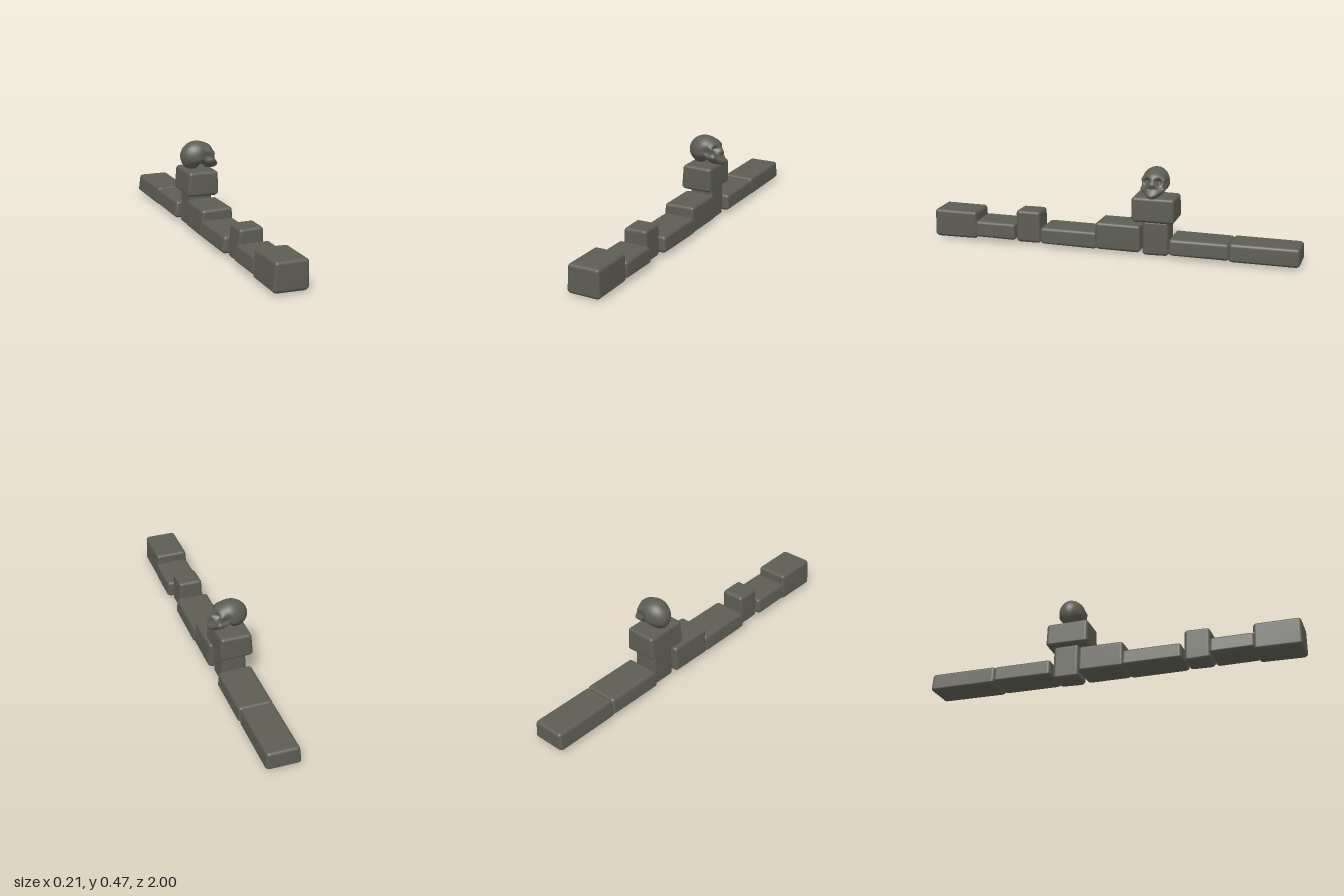
import * as THREE from 'three';
import { RoundedBoxGeometry } from 'three/addons/geometries/RoundedBoxGeometry.js';
import { mergeVertices } from 'three/addons/utils/BufferGeometryUtils.js';

const stone = new THREE.MeshStandardMaterial({ color: 0x5e5d53 });
stone.name = 'dark stone';

let seed = 7;
const rand = () => (seed = (seed * 16807) % 2147483647) / 2147483647;
const step = THREE.MathUtils.smoothstep;

// Move every vertex by a rule, then weld and smooth
function reshape(geometry, rule) {
  geometry.deleteAttribute('normal');
  geometry.deleteAttribute('uv');
  const p = geometry.attributes.position;
  const v = new THREE.Vector3();
  for (let i = 0; i < p.count; i++) {
    rule(v.fromBufferAttribute(p, i));
    p.setXYZ(i, v.x, v.y, v.z);
  }
  const welded = mergeVertices(geometry, 1e-5);
  welded.computeVertexNormals();
  return welded;
}

// Worn block: rounded box, wider near the foot, with slightly uneven corners
function block(name, [x0, x1], [y0, y1], [z0, z1]) {
  const w = x1 - x0, h = y1 - y0, d = z1 - z0;
  const corners = Array.from({ length: 8 }, () => (rand() - 0.5) * 0.008);
  const geometry = reshape(new RoundedBoxGeometry(w, h, d, 4, 0.017), (v) => {
    const t = v.y / h + 0.5;
    const corner = (v.x > 0 ? 1 : 0) + (v.y > 0 ? 2 : 0) + (v.z > 0 ? 4 : 0);
    const foot = 1 - step(t, 0, 0.16);
    const lean = v.x < 0 ? 0.012 : 0.004;
    v.x -= Math.sign(v.x) * (lean * t + 0.008 * foot);
    v.z -= Math.sign(v.z) * (0.003 * t + 0.005 * foot);
    v.y -= Math.abs(corners[corner]) * (v.y > 0 ? 1 : -1);
  });
  const mesh = new THREE.Mesh(geometry, stone);
  mesh.name = name;
  mesh.position.set((x0 + x1) / 2, (y0 + y1) / 2, (z0 + z1) / 2);
  return mesh;
}

// Skull facing +x: a side outline swept into a rounded form, then dented
function skull() {
  const cx = 0, cy = 0.39;
  const outline = new THREE.CatmullRomCurve3([
    [0.093, 0.395], [0.082, 0.41], [0.074, 0.425], [0.06, 0.442], [0.03, 0.457],
    [-0.01, 0.467], [-0.055, 0.458], [-0.09, 0.427], [-0.103, 0.387], [-0.092, 0.346],
    [-0.065, 0.319], [-0.04, 0.315], [-0.022, 0.317], [-0.013, 0.331], [0.008, 0.34],
    [0.028, 0.332], [0.037, 0.319], [0.06, 0.315], [0.088, 0.317], [0.104, 0.326],
    [0.107, 0.338], [0.097, 0.354], [0.09, 0.367], [0.092, 0.382],
  ].map(([x, y]) => new THREE.Vector3(x, y, 0)), true);

  // Dents and bumps: x, y, |z|, reach, push in x, push outwards in z
  const marks = [
    [0.075, 0.402, 0.031, 0.017, -0.034, 0],     // eye socket
    [0.025, 0.39, 0.066, 0.026, 0, -0.016],      // temple
    [0.056, 0.364, 0.05, 0.016, 0.006, 0.01],    // cheekbone
    [0.048, 0.41, 0.06, 0.014, 0.004, 0.006],    // socket rim
    [0.085, 0.373, 0.008, 0.009, -0.008, 0],     // nose opening
  ];
  const c = new THREE.Vector3();
  const geometry = new THREE.SphereGeometry(1, 112, 56).rotateX(Math.PI / 2);
  const shaped = reshape(geometry, (v) => {
    const turn = Math.atan2(v.y, v.x) / (2 * Math.PI);
    outline.getPoint(((turn % 1) + 1) % 1, c);
    const face = step(c.x, 0.02, 0.08);
    const rho = Math.pow(Math.min(1, Math.hypot(v.x, v.y)), 1 - 0.35 * face);
    const x = cx + (c.x - cx) * rho, y = cy + (c.y - cy) * rho;
    const low = 1 - step(y, 0.325, 0.375);
    const width = 0.072 * (1 - 0.22 * step(x, 0.03, 0.1)) * (1 - 0.25 * low);
    v.set(x, y, v.z * width);
    const side = Math.sign(v.z), az = Math.abs(v.z);
    let dx = 0, dz = 0;
    for (const [mx, my, mz, reach, px, pz] of marks) {
      const d2 = (x - mx) ** 2 + (y - my) ** 2 + (az - mz) ** 2;
      const k = Math.exp(-d2 / (reach * reach));
      dx += px * k;
      dz += pz * k;
    }
    v.x += dx;
    v.z += side * dz;
  });
  const mesh = new THREE.Mesh(shaped, stone);
  mesh.name = 'skull';
  mesh.position.z = -0.23;
  return mesh;
}

export function createModel() {
  const model = new THREE.Group();
  model.name = 'stoneWallWithSkull';
  model.add(
    block('frontEndBlock', [-0.106, 0.081], [0.008, 0.165], [0.752, 1]),
    block('frontLowBlock', [-0.106, 0.086], [0.022, 0.117], [0.528, 0.762]),
    block('frontPost', [-0.085, 0.058], [0.006, 0.187], [0.394, 0.534]),
    block('middleLowBlock', [-0.108, 0.083], [0.014, 0.111], [0.07, 0.388]),
    block('middleBlock', [-0.106, 0.079], [0.014, 0.166], [-0.168, 0.08]),
    block('pillar', [-0.085, 0.058], [0, 0.192], [-0.314, -0.17]),
    block('rearLowBlock', [-0.108, 0.085], [0.014, 0.111], [-0.64, -0.318]),
    block('rearEndBlock', [-0.106, 0.079], [0.01, 0.114], [-1, -0.633]),
    block('capBlock', [-0.104, 0.076], [0.181, 0.319], [-0.348, -0.115]),
    skull(),
  );
  return model;
}
